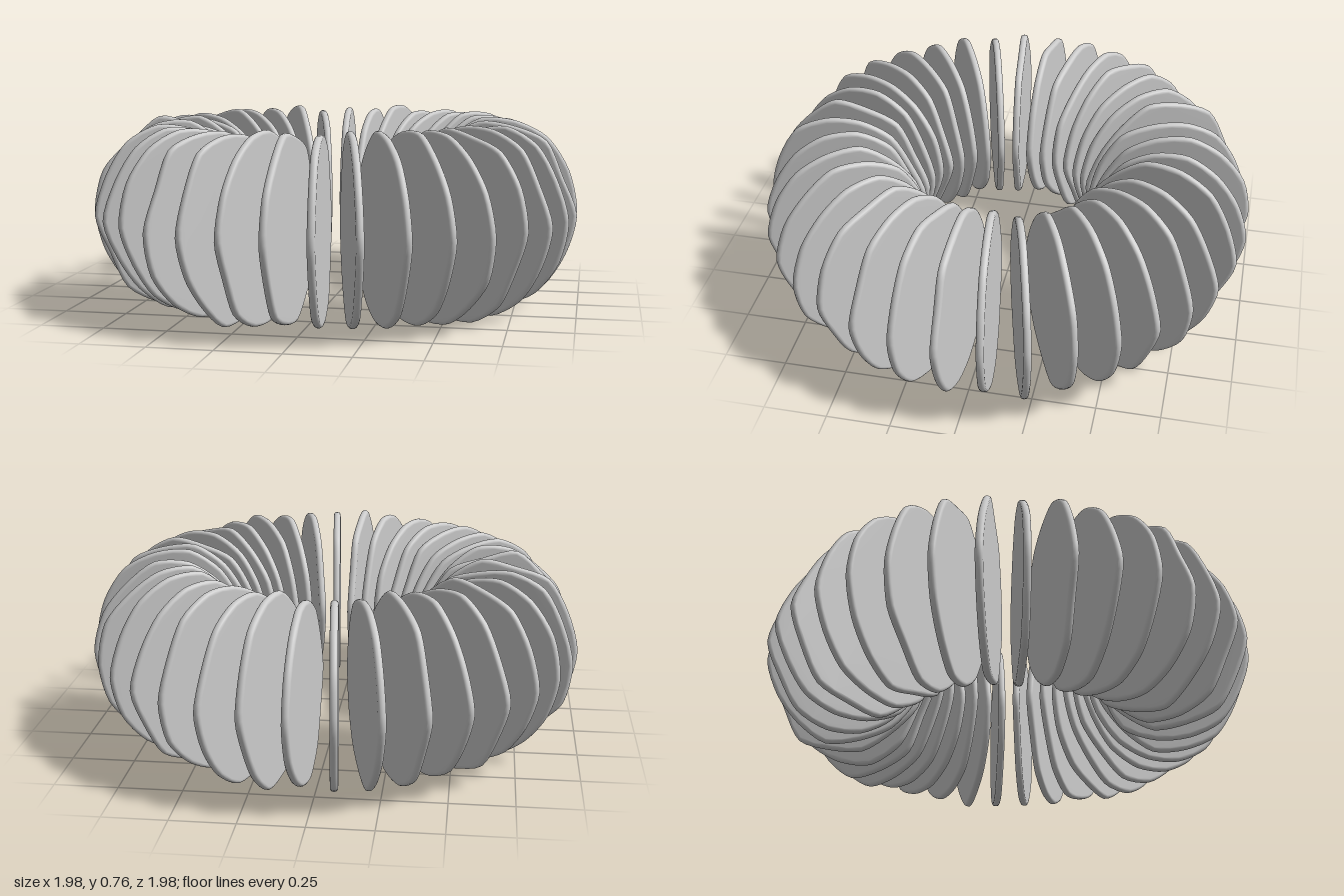
import * as THREE from 'three';
import { mergeVertices } from 'three/addons/utils/BufferGeometryUtils.js';

const PLATES = 36, CORNERS = 14;
const MID_R = 0.667, HALF_W = 0.327, HALF_H = 0.383, MID_Y = 0.385;
const THICK = 0.03, ROUND = 0.013;

// small seeded random generator
function makeRandom(seed) {
  return () => {
    seed = (seed * 16807) % 2147483647;
    return seed / 2147483647;
  };
}

// one thin pebble-like disc: uneven oval outline with rounded rim
function plateGeometry(random) {
  const corners = [];
  for (let i = 0; i < CORNERS; i++) {
    const a = (i / CORNERS) * Math.PI * 2;
    const atEnd = i === 0 || i === CORNERS / 2; // inner and outer ends stay on the ring
    const k = atEnd ? 1 : 0.91 + 0.09 * random();
    corners.push(new THREE.Vector3(Math.cos(a) * HALF_W * k, Math.sin(a) * HALF_H * k, 0));
  }
  const outline = new THREE.CatmullRomCurve3(corners, true, 'catmullrom', 0.4).getPoints(CORNERS * 4);
  outline.pop();
  const shape = new THREE.Shape(outline.map(p => new THREE.Vector2(p.x, p.y)));
  const depth = THICK - 2 * ROUND;
  const geo = new THREE.ExtrudeGeometry(shape, {
    depth, bevelEnabled: true, bevelThickness: ROUND, bevelSize: ROUND,
    bevelOffset: -ROUND, bevelSegments: 4, steps: 1,
  });
  geo.translate(0, 0, -depth / 2);
  geo.deleteAttribute('normal');
  geo.deleteAttribute('uv');
  const smooth = mergeVertices(geo, 1e-5);
  smooth.computeVertexNormals();
  return smooth;
}

export function createModel() {
  const model = new THREE.Group();
  model.name = 'plateRing';
  const material = new THREE.MeshStandardMaterial({ color: 0xcccccc });
  const random = makeRandom(4127);

  // upright plates standing radially around the ring
  for (let i = 0; i < PLATES; i++) {
    const angle = THREE.MathUtils.degToRad(4.2) + (i / PLATES) * Math.PI * 2;
    const plate = new THREE.Mesh(plateGeometry(random), material);
    plate.name = `plate${i + 1}`;
    plate.position.set(Math.cos(angle) * MID_R, MID_Y, Math.sin(angle) * MID_R);
    plate.rotation.y = -angle;
    model.add(plate);
  }
  return model;
}
